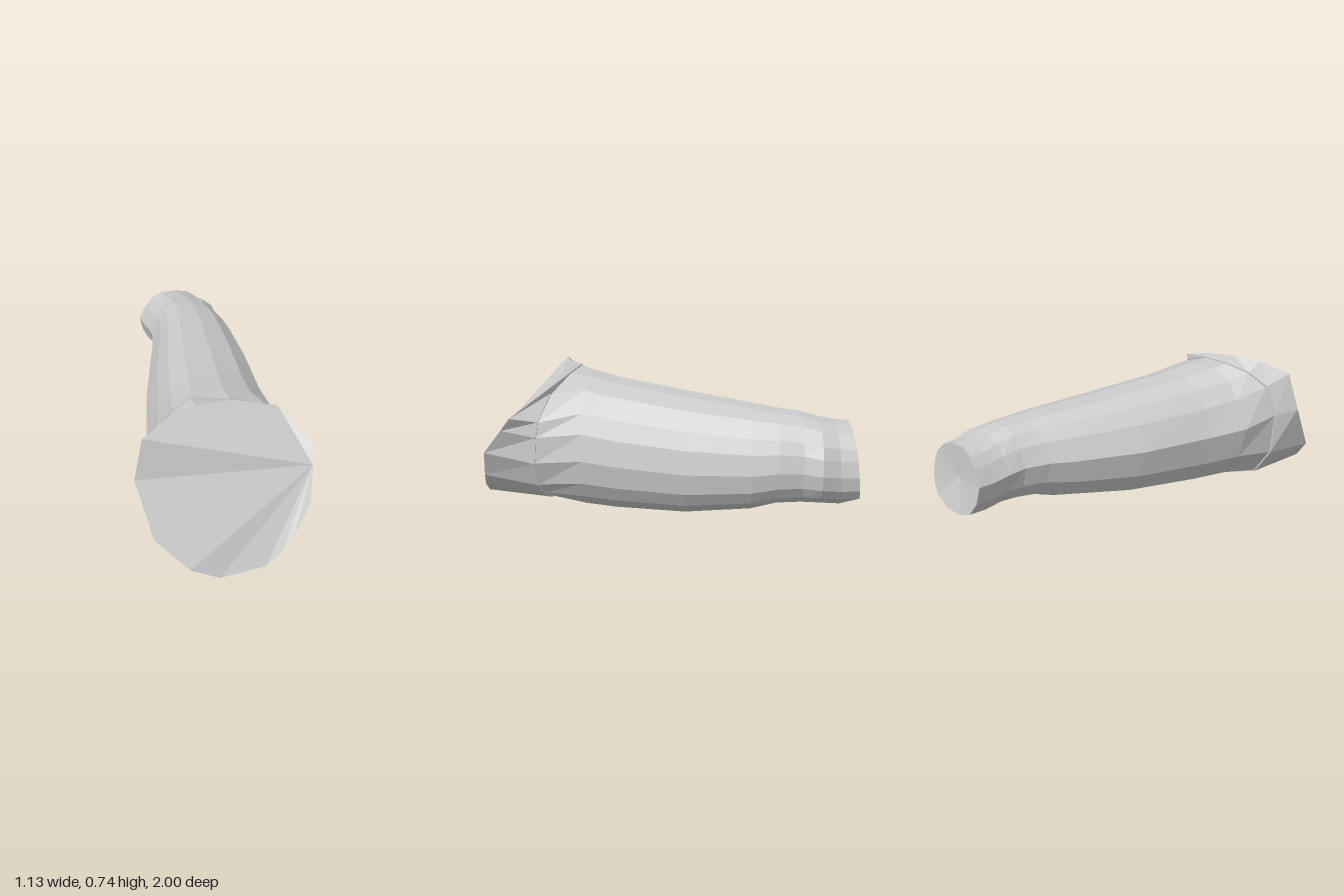
import * as THREE from 'three';

const material = new THREE.MeshStandardMaterial({ color: 0xcccccc, flatShading: true });

// Slanted open-end rim, clockwise seen from the front
const rim = [
  [-0.51, 0.70, 0.64], [-0.35, 0.745, 0.585], [-0.2, 0.745, 0.555], [0, 0.715, 0.555], [0.215, 0.645, 0.6],
  [0.315, 0.505, 0.79], [0.285, 0.435, 0.845], [0.22, 0.30, 0.955], [0.13, 0.155, 0.98], [0.06, 0.085, 0.995],
  [-0.03, 0.025, 1], [-0.26, 0.01, 0.965], [-0.4, 0.09, 0.93], [-0.535, 0.24, 0.82], [-0.565, 0.5, 0.67],
];

// Crease where the cuff meets the body
const crease = [
  [-0.42, 0.62, 0.57], [-0.33, 0.69, 0.52], [-0.2, 0.725, 0.48], [0, 0.70, 0.52], [0.2, 0.62, 0.59],
  [0.28, 0.48, 0.65], [0.29, 0.40, 0.66], [0.29, 0.26, 0.67], [0.24, 0.13, 0.66], [0.19, 0.07, 0.64],
  [0.08, 0.02, 0.62], [-0.2, 0.01, 0.6], [-0.35, 0.07, 0.6], [-0.45, 0.22, 0.6], [-0.48, 0.46, 0.59],
];

// Body cross-section in a unit box, same point order as the rim
const profile = [
  [0.10, 0.80], [0.20, 0.93], [0.34, 1], [0.57, 0.98], [0.77, 0.90],
  [0.92, 0.75], [0.97, 0.60], [1, 0.40], [0.97, 0.22], [0.90, 0.10],
  [0.76, 0], [0.41, 0.02], [0.20, 0.12], [0.06, 0.32], [0, 0.58],
];

// Body sections: z, left, right, bottom, top, forward lean of the top
const sections = [
  [0.42, -0.42, 0.33, 0.01, 0.70, 0],
  [0.25, -0.34, 0.365, 0.005, 0.665, 0],
  [-0.12, -0.19, 0.465, 0.02, 0.615, 0],
  [-0.45, -0.03, 0.525, 0.07, 0.577, 0],
  [-0.58, 0.035, 0.535, 0.11, 0.56, 0],
  [-0.70, 0.08, 0.535, 0.12, 0.548, 0],
  [-0.79, 0.09, 0.565, 0.125, 0.525, 0],
  [-0.88, 0.095, 0.535, 0.115, 0.51, 0.02],
  [-0.965, 0.1, 0.53, 0.12, 0.505, 0.04],
];

const sectionRing = ([z, x0, x1, y0, y1, lean]) =>
  profile.map(([u, v]) => [x0 + u * (x1 - x0), y0 + v * (y1 - y0), z + lean * (v - 0.5)]);

function meshFrom(name, triangles) {
  const geometry = new THREE.BufferGeometry();
  geometry.setAttribute('position', new THREE.Float32BufferAttribute(triangles.flat(2), 3));
  geometry.computeVertexNormals();
  const mesh = new THREE.Mesh(geometry, material);
  mesh.name = name;
  return mesh;
}

// Skin between successive rings, running front to back
function loft(rings) {
  const triangles = [];
  for (let i = 0; i + 1 < rings.length; i++) {
    const front = rings[i], back = rings[i + 1], n = front.length;
    for (let j = 0; j < n; j++) {
      const k = (j + 1) % n;
      triangles.push([front[j], front[k], back[j]], [front[k], back[k], back[j]]);
    }
  }
  return triangles;
}

export function createModel() {
  const group = new THREE.Group();
  group.name = 'limbSegment';
  const n = rim.length;

  // Slightly inset crease makes a small step under the cuff
  const inner = crease.map(([x, y, z]) => [-0.09 + (x + 0.09) * 0.98, 0.36 + (y - 0.36) * 0.98, z]);
  group.add(meshFrom('cuff', loft([rim, crease, inner])));

  // Front face fans out from the notch on the rim
  const notch = 6;
  const frontFace = [];
  for (let i = 1; i < n - 1; i++) {
    frontFace.push([rim[notch], rim[(notch + i + 1) % n], rim[(notch + i) % n]]);
  }
  group.add(meshFrom('frontFace', frontFace));

  // Tapering body, with one low corner pulled out at the narrow end
  const rings = [inner, ...sections.map(sectionRing)];
  const end = rings[rings.length - 1];
  end[10] = [0.37, 0.14, -1];
  group.add(meshFrom('body', loft(rings)));

  // Shallow dished cap on the narrow end
  const centre = [0.31, 0.32, -0.945];
  group.add(meshFrom('backCap', end.map((p, j) => [centre, p, end[(j + 1) % n]])));

  return group;
}
